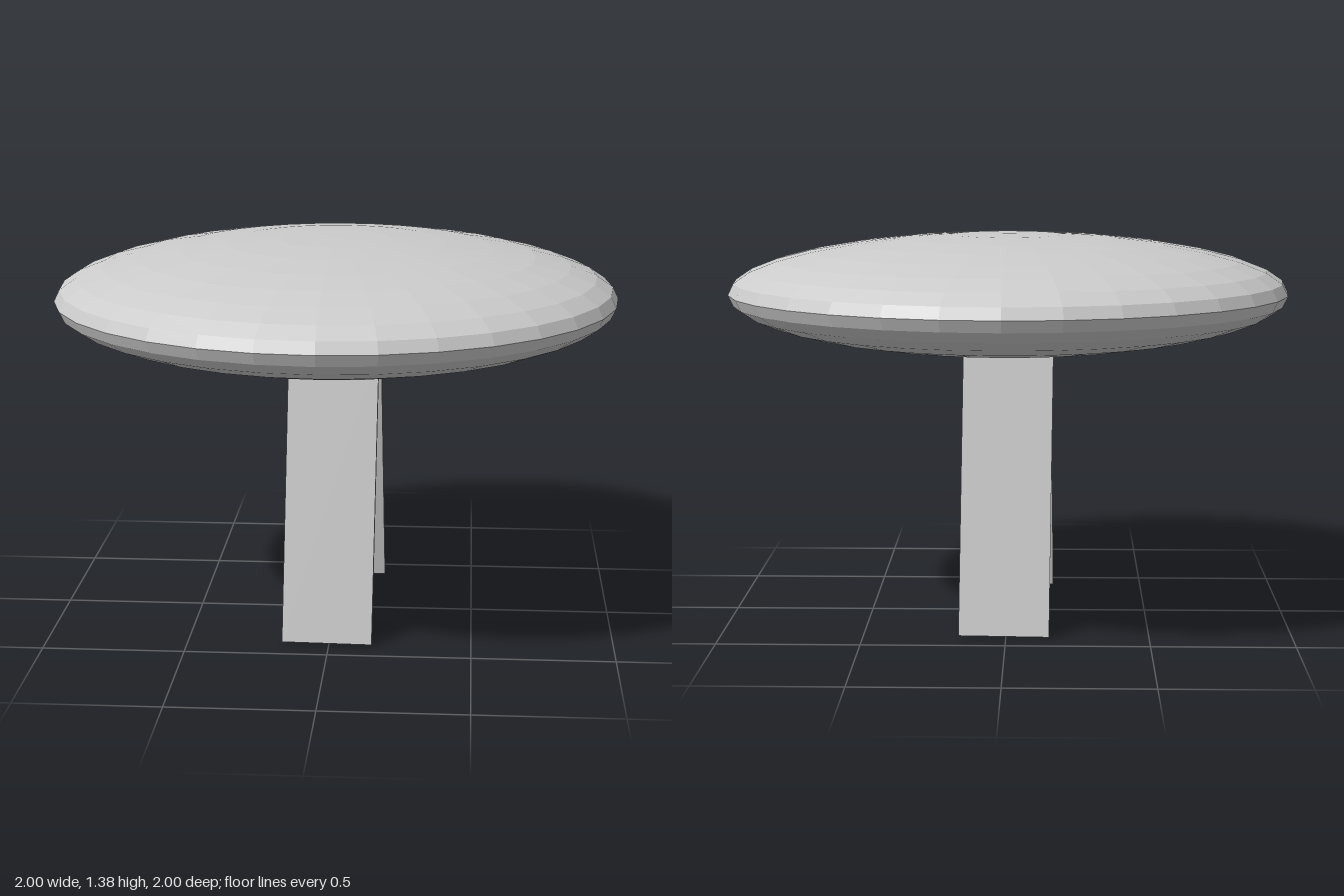
import * as THREE from 'three';

export function createModel() {
  const model = new THREE.Group();
  model.name = 'roundTable';
  const material = new THREE.MeshStandardMaterial({ color: 0xcccccc, flatShading: true });

  // Table top: a flattened faceted ball
  const topGeometry = new THREE.SphereGeometry(1, 32, 16);
  topGeometry.scale(1, 0.207, 1);
  const tableTop = new THREE.Mesh(topGeometry, material);
  tableTop.name = 'tableTop';
  tableTop.position.y = 1.181;
  model.add(tableTop);

  // Two plank legs leaning inward, with a slight sideways roll
  const legLength = 1.04;
  const legGeometry = new THREE.BoxGeometry(0.316, legLength, 0.035);
  legGeometry.translate(0, legLength / 2, 0);
  [['frontLeg', 0], ['backLeg', Math.PI]].forEach(([name, turn]) => {
    const leg = new THREE.Mesh(legGeometry, material);
    leg.position.set(-0.007, 0.009, 0.394);
    leg.rotation.set(-0.193, 0, -0.012);
    const legGroup = new THREE.Group();
    legGroup.name = name;
    legGroup.rotation.y = turn;
    legGroup.add(leg);
    model.add(legGroup);
  });

  return model;
}
